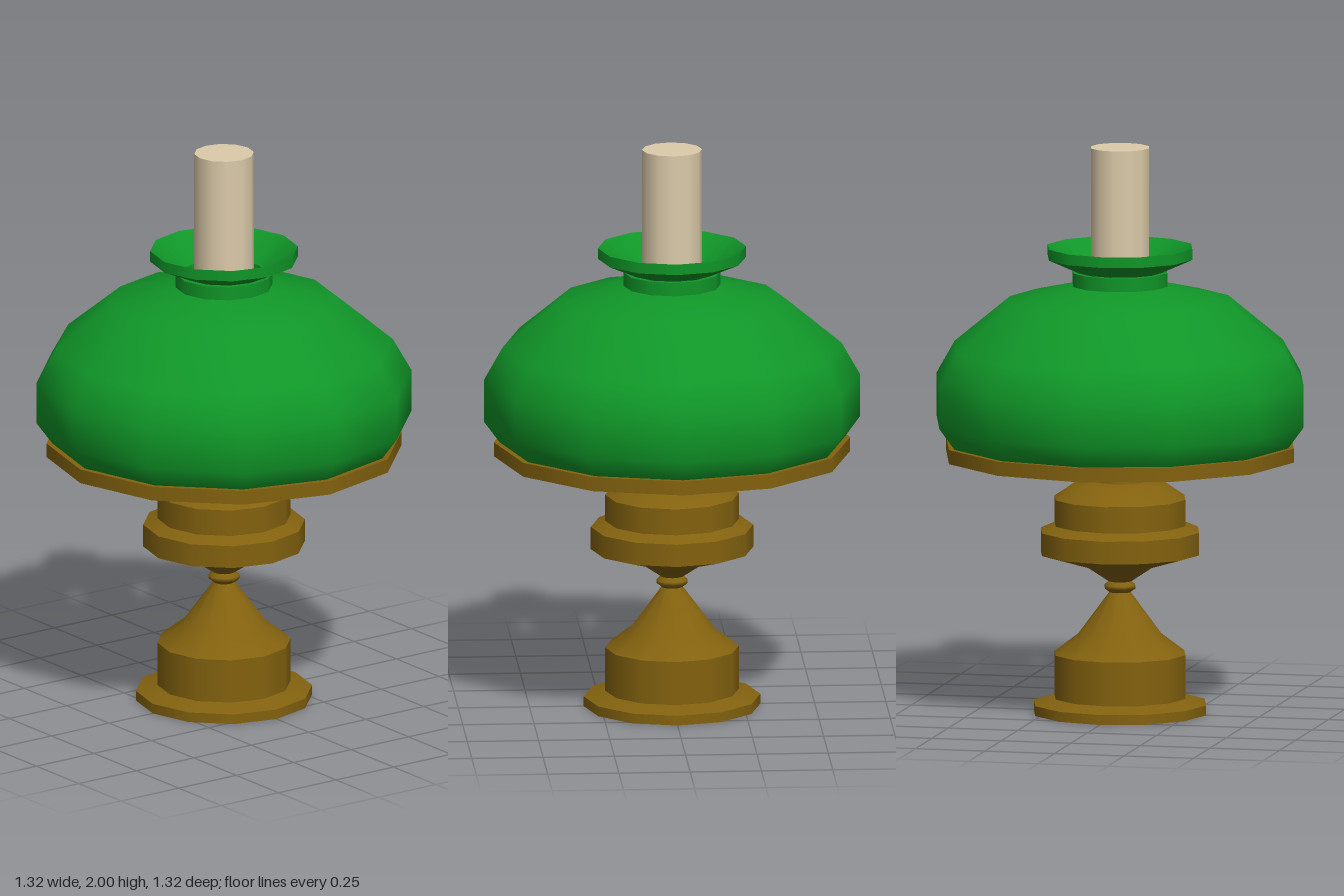
import * as THREE from 'three';

const SIDES = 12;
const material = (name, color, side = THREE.FrontSide) => {
  const m = new THREE.MeshStandardMaterial({ color, side });
  m.name = name;
  return m;
};

export function createModel() {
  const lamp = new THREE.Group();
  lamp.name = 'oilLamp';
  const brass = material('brass', 0x83620f);
  const green = material('greenGlass', 0x109628, THREE.DoubleSide);
  const cream = material('creamGlass', 0xdccbaa);
  const amber = material('amberGlass', 0xc8a062);

  // Turned part: each run of [radius, height] points is smooth, with sharp edges between runs
  function turned(name, mat, runs) {
    const part = new THREE.Group();
    part.name = name;
    runs.forEach((run, i) => {
      const points = run.map(([r, y]) => new THREE.Vector2(r, y));
      const mesh = new THREE.Mesh(new THREE.LatheGeometry(points, SIDES), mat);
      mesh.name = `${name}Surface${i + 1}`;
      part.add(mesh);
    });
    lamp.add(part);
  }
  // Split a profile so that every band has its own edges
  const bands = (profile) => profile.slice(1).map((p, i) => [profile[i], p]);

  // Foot with its conical stem
  turned('foot', brass, [
    ...bands([[0, 0], [0.31, 0], [0.31, 0.035], [0.235, 0.055], [0.235, 0.21]]),
    [[0.235, 0.21], [0.15, 0.275], [0.035, 0.43]],
  ]);

  // Small bead between stem and oil font
  turned('stemBead', brass, [
    [[0.035, 0.425], [0.055, 0.44], [0.055, 0.452], [0.04, 0.465]],
  ]);

  // Oil font
  turned('oilFont', brass, [
    [[0.04, 0.465], [0.115, 0.515], [0.285, 0.565]],
    ...bands([[0.285, 0.565], [0.285, 0.645], [0.235, 0.667], [0.235, 0.76]]),
    [[0.235, 0.76], [0.165, 0.808], [0.09, 0.82]],
  ]);

  // Burner under the chimney
  turned('burner', brass, [
    [[0.09, 0.82], [0.085, 0.855]],
    [[0.085, 0.855], [0.12, 0.915], [0.142, 0.97], [0.142, 1.0], [0.12, 1.04]],
    [[0.12, 1.04], [0, 1.04]],
  ]);

  // Chimney: bulb, shoulder and straight tube
  turned('chimneyBulb', cream, [[[0.11, 1.04], [0.15, 1.1], [0.165, 1.18], [0.16, 1.23]]]);
  turned('chimneyShoulder', amber, [[[0.16, 1.23], [0.145, 1.3], [0.105, 1.4]]]);
  turned('chimneyTube', cream, bands([[0.105, 1.4], [0.105, 2], [0, 2]]));

  // Ring carrying the shade
  turned('shadeRing', brass, bands([
    [0.575, 0.905], [0.625, 0.905], [0.625, 0.955], [0.575, 0.955], [0.575, 0.905],
  ]));

  // Domed shade
  turned('shade', green, [
    [[0.605, 0.955], [0.66, 1.03], [0.66, 1.18], [0.595, 1.295], [0.395, 1.46], [0.17, 1.512]],
  ]);

  // Collar and flared mouth of the shade
  turned('shadeCollar', green, bands([[0.17, 1.512], [0.17, 1.56], [0.15, 1.56]]));
  turned('shadeMouth', green, bands([[0.15, 1.56], [0.26, 1.61], [0.26, 1.648]]));
  turned('shadeMouthInside', green, [[[0.26, 1.648], [0.15, 1.565]]]);

  return lamp;
}
